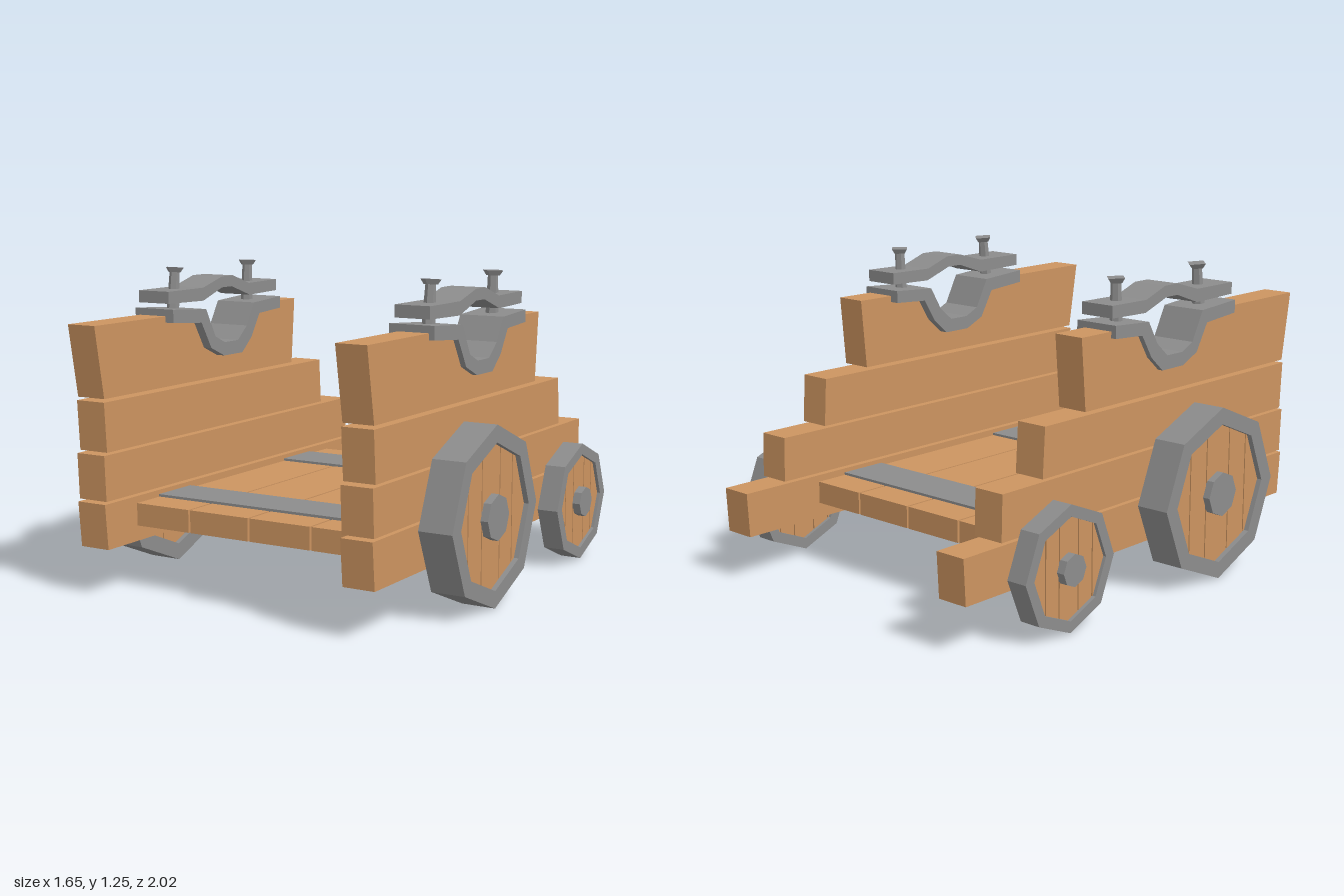
import * as THREE from 'three';

const wood = new THREE.MeshStandardMaterial({ color: 0xcc9460 });
wood.name = 'wood';
const metal = new THREE.MeshStandardMaterial({ color: 0x8c8c8c });
metal.name = 'metal';

// Side profile given as [z, y] points, extruded across x and centred on x = 0.
function profile(points, width, hole) {
  const shape = new THREE.Shape(points.map(p => new THREE.Vector2(...p)));
  if (hole) shape.holes.push(new THREE.Path(hole.map(p => new THREE.Vector2(...p))));
  const g = new THREE.ExtrudeGeometry(shape, { depth: width, bevelEnabled: false });
  return g.translate(0, 0, -width / 2).rotateY(-Math.PI / 2);
}

function add(parent, name, geometry, material, x = 0, y = 0, z = 0) {
  const mesh = new THREE.Mesh(geometry, material);
  mesh.name = name;
  mesh.position.set(x, y, z);
  parent.add(mesh);
  return mesh;
}

function octagon(r) {
  return Array.from({ length: 8 }, (_, i) => [r * Math.cos(i * Math.PI / 4), r * Math.sin(i * Math.PI / 4)]);
}

// Vertical strip of an octagon between z = a and z = b.
function octagonStrip(r, a, b) {
  const k = r * Math.SQRT1_2;
  const half = z => Math.min(r - 0.4142 * Math.abs(z), (r - Math.abs(z)) * 2.4142);
  const zs = [a, ...[-k, 0, k].filter(z => z > a && z < b), b];
  const low = zs.map(z => [z, -half(z)]);
  const high = zs.map(z => [z, half(z)]).reverse();
  return [...low, ...high];
}

function makeWheel(name, r, inner, width, hubR, hubWidth) {
  const wheel = new THREE.Group();
  wheel.name = name;
  add(wheel, 'rim', profile(octagon(r), width, octagon(inner)), metal);
  const cuts = [-0.985, -0.6, -0.24, 0.27, 0.65, 0.985];
  const discR = inner + 0.008;
  for (let i = 0; i < 5; i++) {
    const strip = octagonStrip(discR, cuts[i] * discR + 0.003, cuts[i + 1] * discR - 0.003);
    add(wheel, 'wheelPlank', profile(strip, width * 0.7), wood);
  }
  add(wheel, 'hub', profile(octagon(hubR), hubWidth), metal);
  return wheel;
}

function makeBolt() {
  const bolt = new THREE.Group();
  bolt.name = 'bolt';
  const flat = g => {
    const n = g.toNonIndexed();
    n.computeVertexNormals();
    return n;
  };
  add(bolt, 'boltShaft', flat(new THREE.CylinderGeometry(0.02, 0.026, 0.17, 6)), metal, 0, 0.085, 0);
  add(bolt, 'boltHead', flat(new THREE.CylinderGeometry(0.045, 0.03, 0.02, 4)), metal, 0, 0.175, 0);
  return bolt;
}

// Saddle upper and lower edges, front to back
const saddleTop = [[0.563, 1.093], [0.343, 1.078], [0.28, 0.96], [0.215, 0.93],
  [0.12, 0.93], [0.055, 0.985], [0, 1.078], [-0.2, 1.09]];
const saddleBottom = [[0.563, 1.04], [0.375, 1.025], [0.31, 0.915], [0.22, 0.875],
  [0.09, 0.875], [0.02, 0.935], [-0.04, 1.03], [-0.2, 1.04]];
const capTop = [[0.563, 1.163], [0.33, 1.163], [0.2, 1.2], [0.12, 1.2], [0.005, 1.16], [-0.2, 1.163]];
const capBottom = [[0.563, 1.115], [0.33, 1.11], [0.2, 1.155], [0.13, 1.155], [0, 1.11], [-0.2, 1.115]];
const band = (top, bottom) => [...top, ...bottom.slice().reverse()];

function makeSide(s) {
  const side = new THREE.Group();
  side.name = s > 0 ? 'leftSide' : 'rightSide';
  const x = s * 0.594;

  // Stepped side planks, lowest first
  const planks = [
    [[0.95, 0.195], [0.965, 0.375], [-1, 0.375], [-0.99, 0.195]],
    [[0.955, 0.385], [0.963, 0.565], [-0.8, 0.565], [-0.805, 0.385]],
    [[0.945, 0.575], [0.957, 0.77], [-0.573, 0.77], [-0.585, 0.575]],
  ];
  for (const p of planks) add(side, 'sidePlank', profile(p, 0.132), wood, x);

  // Top plank, notched under the saddle
  const notch = saddleTop.slice(1, 7).map(([z, y], i) =>
    [(z + saddleBottom[i + 1][0]) / 2, i === 0 || i === 5 ? 1.065 : (y + saddleBottom[i + 1][1]) / 2]);
  add(side, 'topPlank', profile([[0.952, 0.783], [1, 1.066], ...notch, [-0.37, 1.066], [-0.345, 0.783]], 0.128), wood, x);

  // Trunnion saddle, cap and bolts
  add(side, 'saddle', profile(band(saddleTop, saddleBottom), 0.188), metal, s * 0.586);
  add(side, 'saddleCap', profile(band(capTop, capBottom), 0.148), metal, s * 0.588);
  for (const [z, tilt] of [[0.44, -0.1], [-0.085, -0.03]]) {
    const bolt = makeBolt();
    bolt.position.set(s * 0.588, 1.065, z);
    bolt.rotation.x = tilt;
    side.add(bolt);
  }

  // Wheels
  const front = makeWheel('frontWheel', 0.353, 0.285, 0.14, 0.09, 0.16);
  front.position.set(s * 0.744, 0.357, 0.312);
  const back = makeWheel('backWheel', 0.246, 0.2, 0.088, 0.063, 0.128);
  back.position.set(s * 0.737, 0.255, -0.565);
  side.add(front, back);
  return side;
}

export function createModel() {
  const model = new THREE.Group();
  model.name = 'carriage';
  const body = new THREE.Group();
  body.name = 'body';
  model.add(body);

  // Floor planks
  const edges = [-0.53, -0.272, 0.005, 0.282, 0.53];
  for (let i = 0; i < 4; i++) {
    const w = edges[i + 1] - edges[i] - 0.009;
    add(body, 'floorPlank', new THREE.BoxGeometry(w, 0.09, 1.4), wood, (edges[i] + edges[i + 1]) / 2, 0.303, 0.073);
  }
  // Metal straps around the floor
  for (const z of [-0.38, 0.525]) {
    add(body, 'floorStrap', new THREE.BoxGeometry(1.06, 0.116, 0.208), metal, 0, 0.3, z);
  }
  body.add(makeSide(1), makeSide(-1));

  // The whole carriage sits very slightly turned
  body.rotation.y = 0.0125;
  body.position.x = -0.005;
  return model;
}
